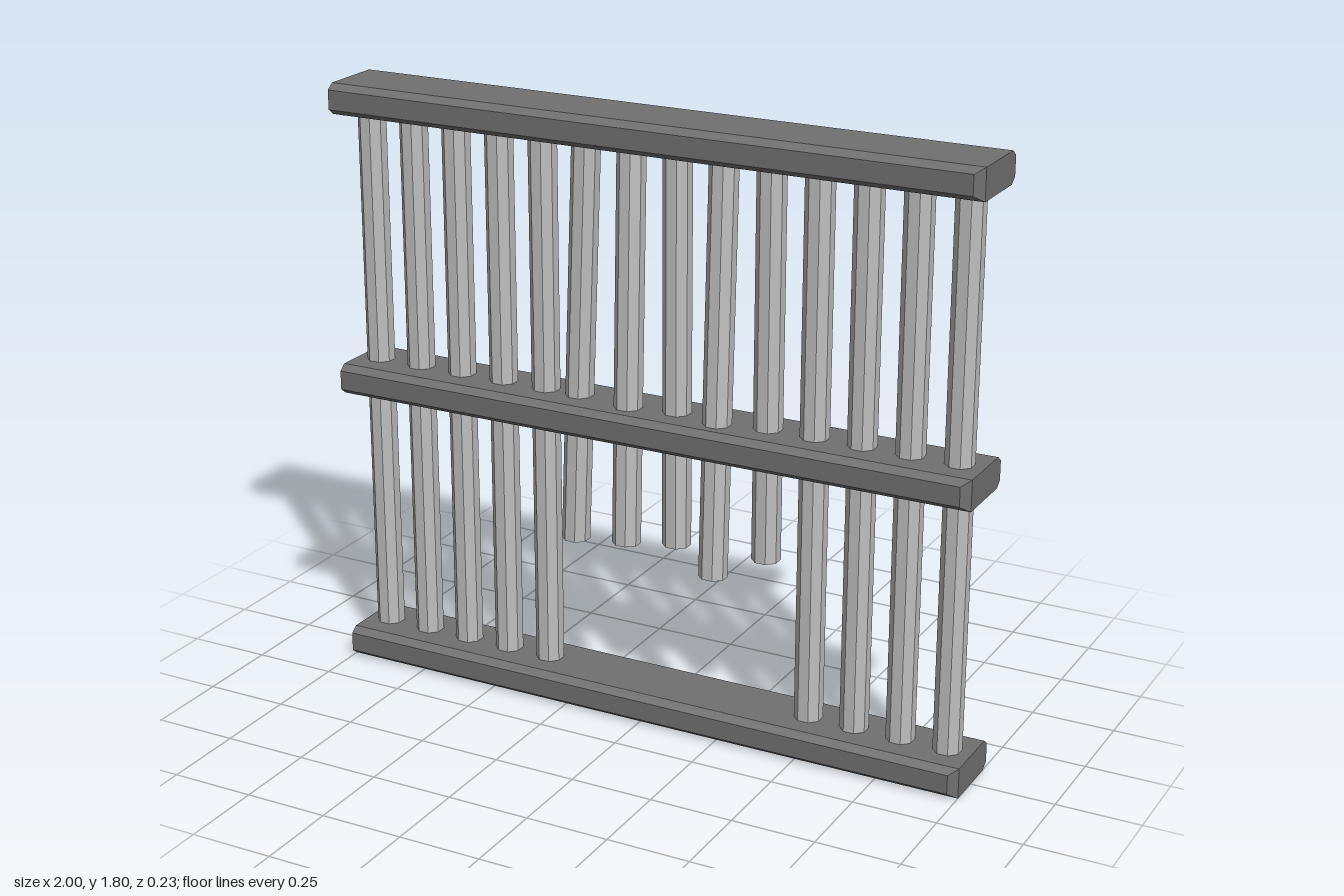
import * as THREE from 'three';
import { ConvexGeometry } from 'three/addons/geometries/ConvexGeometry.js';

const railMaterial = new THREE.MeshStandardMaterial({ color: 0x707070 });
railMaterial.name = 'darkIron';
const barMaterial = new THREE.MeshStandardMaterial({ color: 0xbebebe });
barMaterial.name = 'paleSteel';

// Bevelled rail whose front corner at +x is cut off
function railGeometry() {
  const h = 0.046, flat = 0.029, depth = 0.117, inner = 0.095;
  const points = [];
  for (const sy of [-1, 1]) {
    for (const sz of [-1, 1]) {
      for (const sx of [-1, 1]) {
        const cut = sx > 0 && sz > 0 ? 0.025 : 0;
        points.push(new THREE.Vector3(sx, sy * h, sz * inner));
        points.push(new THREE.Vector3(sx - cut, sy * flat, sz * depth));
      }
    }
  }
  return new ConvexGeometry(points);
}

// Eight-sided bar between two points, flat face to the front
function makeBar(name, top, bottom) {
  const axis = top.clone().sub(bottom);
  const geometry = new THREE.CylinderGeometry(0.042, 0.042, axis.length(), 8);
  geometry.rotateY(Math.PI / 8);
  const flat = geometry.toNonIndexed();
  flat.computeVertexNormals();
  const bar = new THREE.Mesh(flat, barMaterial);
  bar.name = name;
  bar.position.copy(top).add(bottom).multiplyScalar(0.5);
  bar.quaternion.setFromUnitVectors(new THREE.Vector3(0, 1, 0), axis.normalize());
  return bar;
}

export function createModel() {
  const group = new THREE.Group();
  group.name = 'brokenBarGate';

  // Three horizontal rails
  const geometry = railGeometry();
  const rails = { bottomRail: 0.046, middleRail: 0.905, topRail: 1.758 };
  for (const [name, y] of Object.entries(rails)) {
    const rail = new THREE.Mesh(geometry, railMaterial);
    rail.name = name;
    rail.position.y = y;
    group.add(rail);
  }

  // Broken bars by index: lower end height and its drift in x and z
  const broken = {
    5: [0.5, -0.048, 0],
    6: [0.537, 0, 0.04],
    7: [0.545, 0, 0],
    8: [0.492, 0, 0.05],
    9: [0.555, 0, 0],
  };
  for (let i = 0; i < 14; i++) {
    const x = -0.931 + i * 0.1429;
    const [endY, dx, dz] = broken[i] ?? [0.05, 0, 0];
    group.add(makeBar(
      broken[i] ? 'brokenBar' : 'bar',
      new THREE.Vector3(x, 1.75, 0),
      new THREE.Vector3(x + dx, endY, dz),
    ));
  }
  return group;
}
